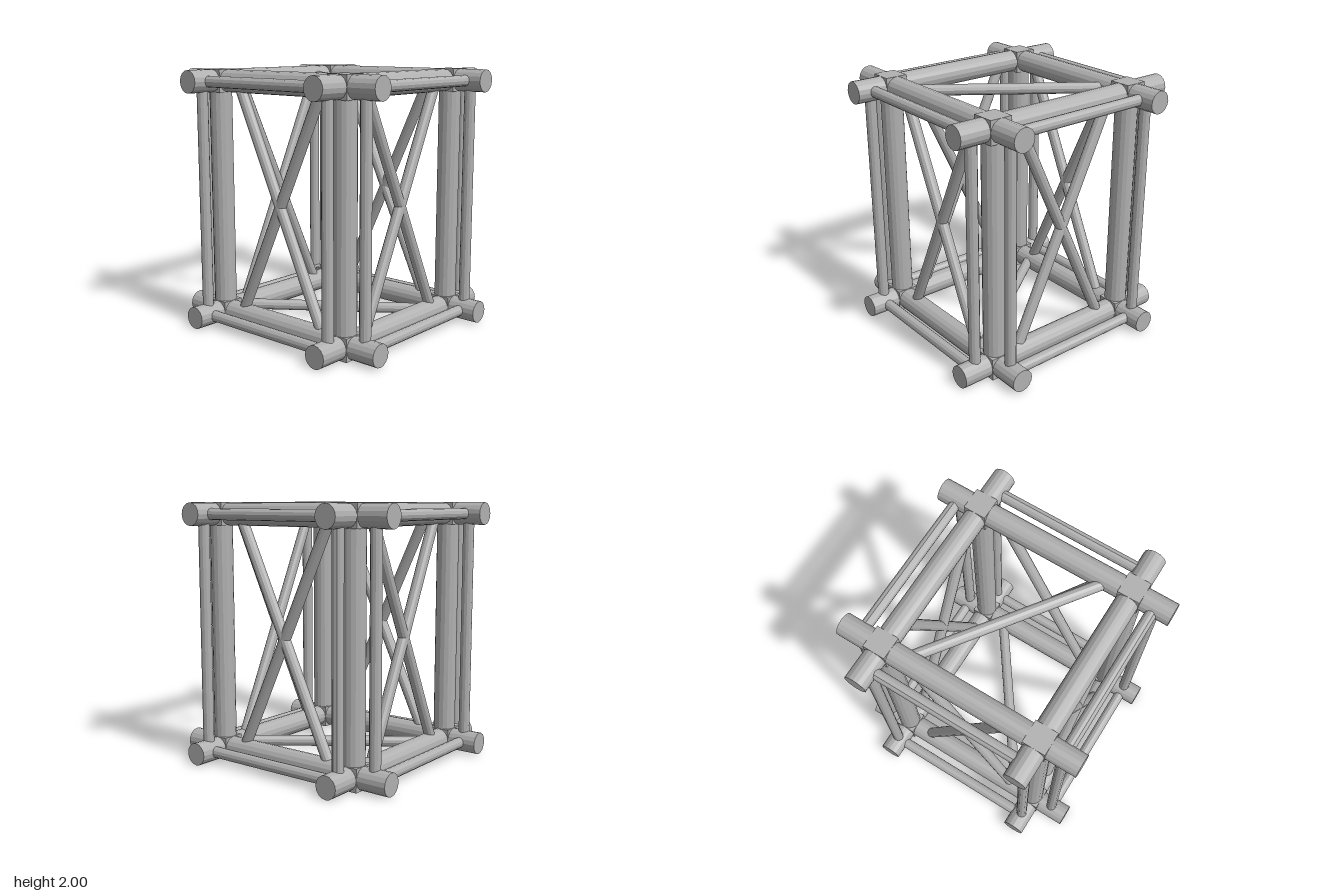
import * as THREE from 'three';

const C = 0.63;        // corner offset in x and z
const R = 0.0865;      // main tube radius
const T = 0.043;       // brace radius
const LOW = 0.0875, HIGH = 1.9125;
const OUT = 0.814;     // offset of the outer ties
const END = 0.953;     // rail overhang

const steel = new THREE.MeshStandardMaterial({ color: 0xb0b0b0, flatShading: true });
steel.name = 'grey steel';

export function createModel() {
  const model = new THREE.Group();
  model.name = 'trussFrame';

  // Straight round bar between two points
  const bar = (name, a, b, radius, sides) => {
    const from = new THREE.Vector3(...a), to = new THREE.Vector3(...b);
    const dir = to.clone().sub(from);
    const mesh = new THREE.Mesh(new THREE.CylinderGeometry(radius, radius, dir.length(), sides), steel);
    mesh.position.copy(from).add(to).multiplyScalar(0.5);
    mesh.quaternion.setFromUnitVectors(new THREE.Vector3(0, 1, 0), dir.normalize());
    mesh.name = name;
    model.add(mesh);
  };
  const main = (name, a, b) => bar(name, a, b, R, 16);
  const thin = (name, a, b) => bar(name, a, b, T, 12);

  for (const s of [-1, 1]) {
    // Horizontal rails and outer ties at both levels
    for (const y of [LOW, HIGH]) {
      main('railX', [-END, y, s * C], [END, y, s * C]);
      main('railZ', [s * C, y, -END], [s * C, y, END]);
      thin('outerTieX', [-C, y, s * OUT], [C, y, s * OUT]);
      thin('outerTieZ', [s * OUT, y, -C], [s * OUT, y, C]);
    }
    for (const t of [-1, 1]) {
      // Corner posts with two slim uprights each
      main('cornerPost', [s * C, LOW, t * C], [s * C, HIGH, t * C]);
      thin('sideUpright', [s * OUT, LOW, t * C], [s * OUT, HIGH, t * C]);
      thin('endUpright', [s * C, LOW, t * OUT], [s * C, HIGH, t * OUT]);

      // Square joint blocks
      for (const y of [LOW, HIGH]) {
        const joint = new THREE.Mesh(new THREE.BoxGeometry(0.175, 0.175, 0.175), steel);
        joint.position.set(s * C, y, t * C);
        joint.name = 'jointBlock';
        model.add(joint);
      }

      // Crossed braces on the four upright faces
      thin('crossBraceX', [-t * 0.43, LOW, s * C], [t * 0.43, HIGH, s * C]);
      thin('crossBraceZ', [s * C, LOW, -t * 0.43], [s * C, HIGH, t * 0.43]);
    }
  }

  // Single diagonals, opposite ways on top and bottom
  thin('topDiagonal', [-C, HIGH, -0.455], [C, HIGH, 0.455]);
  thin('bottomDiagonal', [-C, LOW, 0.455], [C, LOW, -0.455]);

  return model;
}
